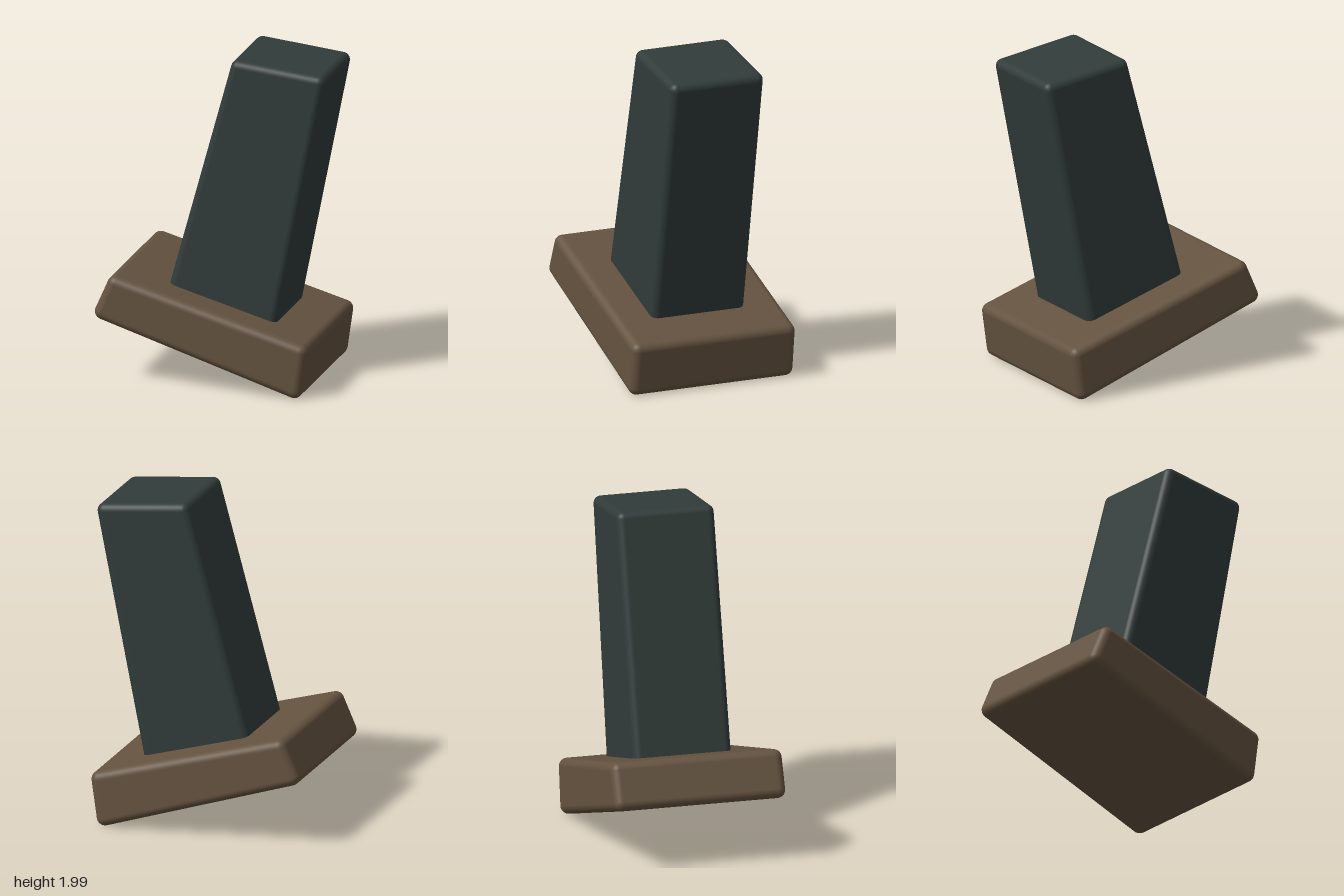
import * as THREE from 'three';
import { RoundedBoxGeometry } from 'three/addons/geometries/RoundedBoxGeometry.js';

// Four-sided block with rounded edges.
// Corners in x, y: bottom left, bottom right, top right, top left.
function roundedBlock(corners, halfDepth, radius) {
  const [bl, br, tr, tl] = corners.map(([x, y]) => new THREE.Vector2(x, y));
  const outward = (a, b) => new THREE.Vector2(b.y - a.y, a.x - b.x).normalize();
  const bottom = outward(bl, br), right = outward(br, tr);
  const top = outward(tr, tl), left = outward(tl, bl);

  const geometry = new RoundedBoxGeometry(2, 2, 2, 4, 0.2);
  const pos = geometry.attributes.position;
  const nor = geometry.attributes.normal;
  const n = new THREE.Vector3();
  for (let i = 0; i < pos.count; i++) {
    const isRight = pos.getX(i) > 0, isTop = pos.getY(i) > 0;
    const corner = isTop ? (isRight ? tr : tl) : (isRight ? br : bl);
    const side = isRight ? right : left;
    const cap = isTop ? top : bottom;
    // centre of the rounding sphere, inset from both edges
    const inset = radius / (1 + side.dot(cap));
    const cx = corner.x - (side.x + cap.x) * inset;
    const cy = corner.y - (side.y + cap.y) * inset;
    const cz = Math.sign(pos.getZ(i)) * (halfDepth - radius);
    // blend the true face directions
    const a = Math.abs(nor.getX(i)), b = Math.abs(nor.getY(i));
    n.set(side.x * a + cap.x * b, side.y * a + cap.y * b, nor.getZ(i)).normalize();
    pos.setXYZ(i, cx + n.x * radius, cy + n.y * radius, cz + n.z * radius);
    nor.setXYZ(i, n.x, n.y, n.z);
  }
  geometry.computeBoundingSphere();
  return geometry;
}

export function createModel() {
  const group = new THREE.Group();
  const brown = new THREE.MeshStandardMaterial({ name: 'brown', color: 0x655340 });
  const darkSlate = new THREE.MeshStandardMaterial({ name: 'dark slate', color: 0x313c3a });

  const add = (name, material, corners, halfDepth, radius) => {
    const mesh = new THREE.Mesh(roundedBlock(corners, halfDepth, radius), material);
    mesh.name = name;
    group.add(mesh);
  };

  // Tilted slab at the foot
  add('base', brown,
    [[-0.698, 0.415], [0.592, -0.01], [0.64, 0.327], [-0.58, 0.682]], 0.527, 0.05);

  // Leaning, slightly tapered post, sunk into the base
  add('post', darkSlate,
    [[-0.318, 0.45], [0.35, 0.235], [0.688, 1.938], [0.109, 2.005]], 0.3, 0.045);

  return group;
}
